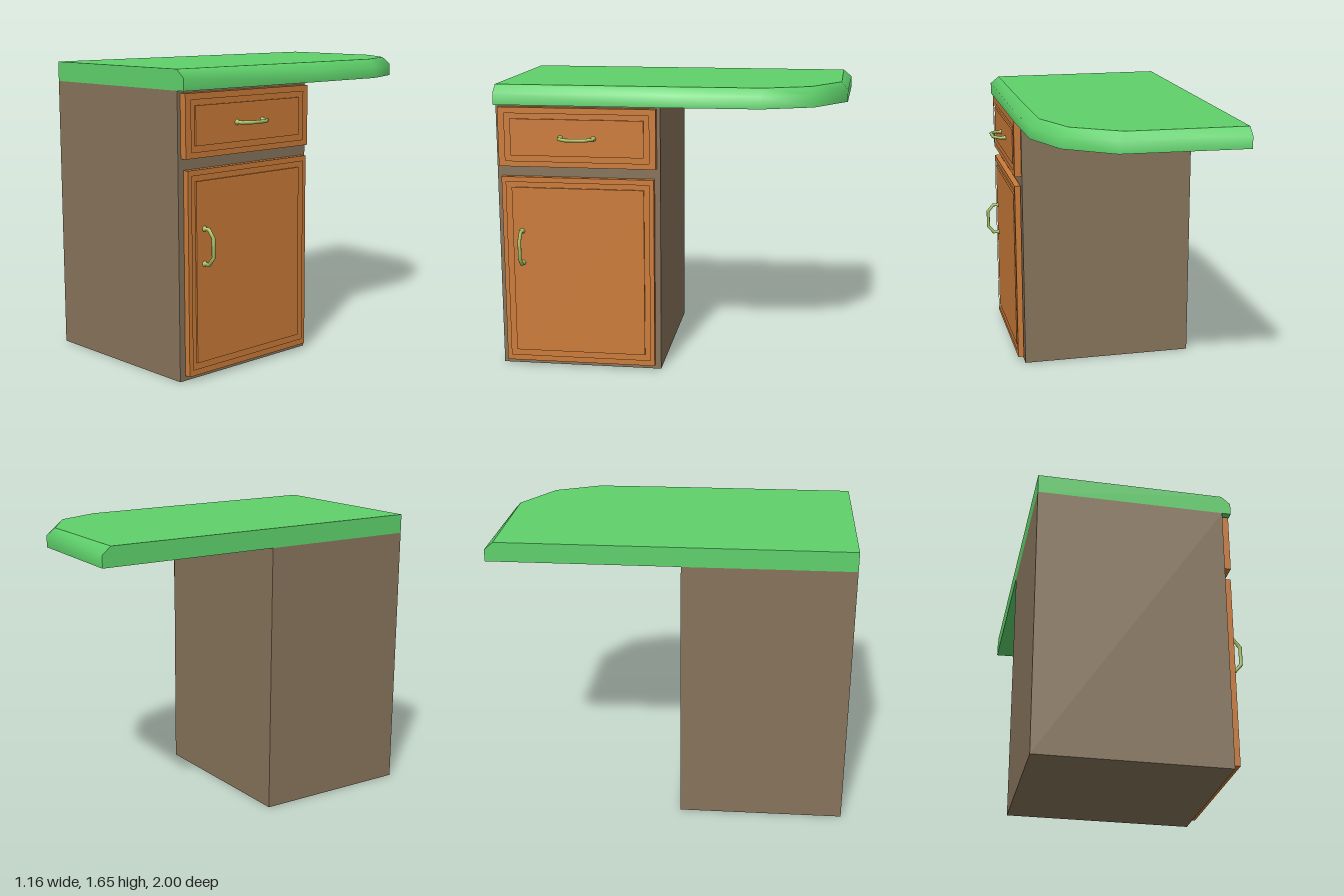
import * as THREE from 'three';
import { mergeGeometries } from 'three/addons/utils/BufferGeometryUtils.js';

const mat = (name, color) => {
  const m = new THREE.MeshStandardMaterial({ color });
  m.name = name;
  return m;
};

function mesh(name, geometry, material) {
  const m = new THREE.Mesh(geometry, material);
  m.name = name;
  return m;
}

function box(x0, x1, y0, y1, z0, z1) {
  return new THREE.BoxGeometry(x1 - x0, y1 - y0, z1 - z0)
    .translate((x0 + x1) / 2, (y0 + y1) / 2, (z0 + z1) / 2);
}

// Joins rows of points with equal length into one smooth surface
function loft(rows, closed = false) {
  const n = rows[0].length, index = [];
  for (let r = 0; r < rows.length - 1; r++) {
    for (let i = 0; i < (closed ? n : n - 1); i++) {
      const j = (i + 1) % n, a = r * n, b = a + n;
      index.push(a + i, a + j, b + i, a + j, b + j, b + i);
    }
  }
  const g = new THREE.BufferGeometry();
  g.setAttribute('position', new THREE.Float32BufferAttribute(rows.flat(2), 3));
  g.setIndex(index);
  g.computeVertexNormals();
  return g;
}

const flat = (points) => new THREE.ShapeGeometry(
  new THREE.Shape(points.map(([x, y]) => new THREE.Vector2(x, y))));

// Countertop: bevelled along the right and rounded rear edge, square on the others
function countertop(material) {
  const group = new THREE.Group();
  group.name = 'countertop';
  const yB = 1.54, yM = 1.607, yT = 1.65, xL = -0.585;
  const outer = [[0.51, 1], [0.51, 0], [0.5, -0.5], [0.383, -0.785], [0.12, -0.972], [xL, -1]];
  const inner = [[0.458, 1], [0.456, 0], [0.448, -0.51], [0.338, -0.768], [0.085, -0.935], [xL, -0.95]];
  const at = (path, y) => path.map(([x, z]) => [x, y, z]);
  const corner = [xL, 1];
  group.add(
    mesh('countertopEdge', loft([at(outer, yB), at(outer, yM), at(inner, yT)]), material),
    mesh('countertopTop', flat([...inner, corner].map(([x, z]) => [x, -z]))
      .rotateX(-Math.PI / 2).translate(0, yT, 0), material),
    mesh('countertopUnderside', flat([...outer, corner])
      .rotateX(Math.PI / 2).translate(0, yB, 0), material),
    mesh('countertopFront', flat([[xL, yB], [0.51, yB], [0.51, yM], [0.458, yT], [xL, yT]])
      .translate(0, 0, 1), material),
    mesh('countertopLeftSide', flat([[1, yB], [1, yT], [-0.95, yT], [-1, yM], [-1, yB]])
      .rotateY(-Math.PI / 2).translate(xL, 0, 0), material));
  return group;
}

// Cabinet front with a rectangular groove around a centre panel
function groovedPanel(name, x0, y0, y1, z0, z1, groove, material) {
  const x1 = 0.5, floor = 0.49;
  const [gy0, gy1, gz0, gz1] = groove, w = 0.031;
  const rect = (Type, a0, a1, b0, b1) => new Type([
    new THREE.Vector2(-a0, b0), new THREE.Vector2(-a1, b0),
    new THREE.Vector2(-a1, b1), new THREE.Vector2(-a0, b1)]);
  const frame = rect(THREE.Shape, z0, z1, y0, y1);
  frame.holes.push(rect(THREE.Path, gz0, gz1, gy0, gy1));
  const rim = new THREE.ExtrudeGeometry(frame, { depth: x1 - floor, bevelEnabled: false })
    .rotateY(Math.PI / 2).translate(floor, 0, 0);
  const parts = [
    box(x0, floor, y0, y1, z0, z1).toNonIndexed(),
    rim,
    box(floor, x1, gy0 + w, gy1 - w, gz0 + w, gz1 - w).toNonIndexed(),
  ];
  return mesh(name, mergeGeometries(parts), material);
}

// Bow handle lying in the XY plane: mitred round bar with flared feet
function handleGeometry() {
  const path = [[0, -0.094, 0.016], [0.012, -0.094, 0.01], [0.035, -0.094, 0.01], [0.07, -0.052, 0.01]];
  const pts = [...path, ...path.map(([x, y, r]) => [x, -y, r]).reverse()];
  const sides = 10;
  const dir = (a, b) => new THREE.Vector2(b[0] - a[0], b[1] - a[1]).normalize();
  const rows = pts.map((p, i) => {
    const before = i > 0 ? dir(pts[i - 1], p) : dir(p, pts[i + 1]);
    const after = i < pts.length - 1 ? dir(p, pts[i + 1]) : before;
    const t = before.clone().add(after).normalize();
    const stretch = p[2] / t.dot(before);
    return Array.from({ length: sides }, (_, k) => {
      const a = (k / sides) * Math.PI * 2;
      const s = Math.cos(a) * stretch;
      return [p[0] - t.y * s, p[1] + t.x * s, Math.sin(a) * p[2]];
    });
  });
  return loft(rows, true);
}

export function createModel() {
  const model = new THREE.Group();
  model.name = 'cabinetWithCountertop';
  const green = mat('countertopGreen', 0x5fd16b);
  const brown = mat('carcassBrown', 0x87745b);
  const orange = mat('frontOrange', 0xcb7b39);
  const olive = mat('handleOlive', 0xa5bd62);
  green.side = olive.side = THREE.DoubleSide;

  model.add(mesh('cabinetBody', box(-0.585, 0.46, 0, 1.54, 0.06, 1), brown));
  model.add(countertop(green));

  // Drawer above the door
  model.add(groovedPanel('drawerFront', 0.46, 1.19, 1.527, 0.08, 0.98, [1.222, 1.493, 0.118, 0.942], orange));
  model.add(groovedPanel('door', 0.465, 0.03, 1.13, 0.092, 0.968, [0.063, 1.1, 0.118, 0.942], orange));

  // Upright handle on the door, level handle on the drawer
  const doorHandle = mesh('doorHandle', handleGeometry(), olive);
  doorHandle.position.set(0.5, 0.72, 0.857);
  const drawerHandle = mesh('drawerHandle', handleGeometry(), olive);
  drawerHandle.rotation.x = Math.PI / 2;
  drawerHandle.position.set(0.5, 1.357, 0.527);
  model.add(doorHandle, drawerHandle);
  return model;
}
